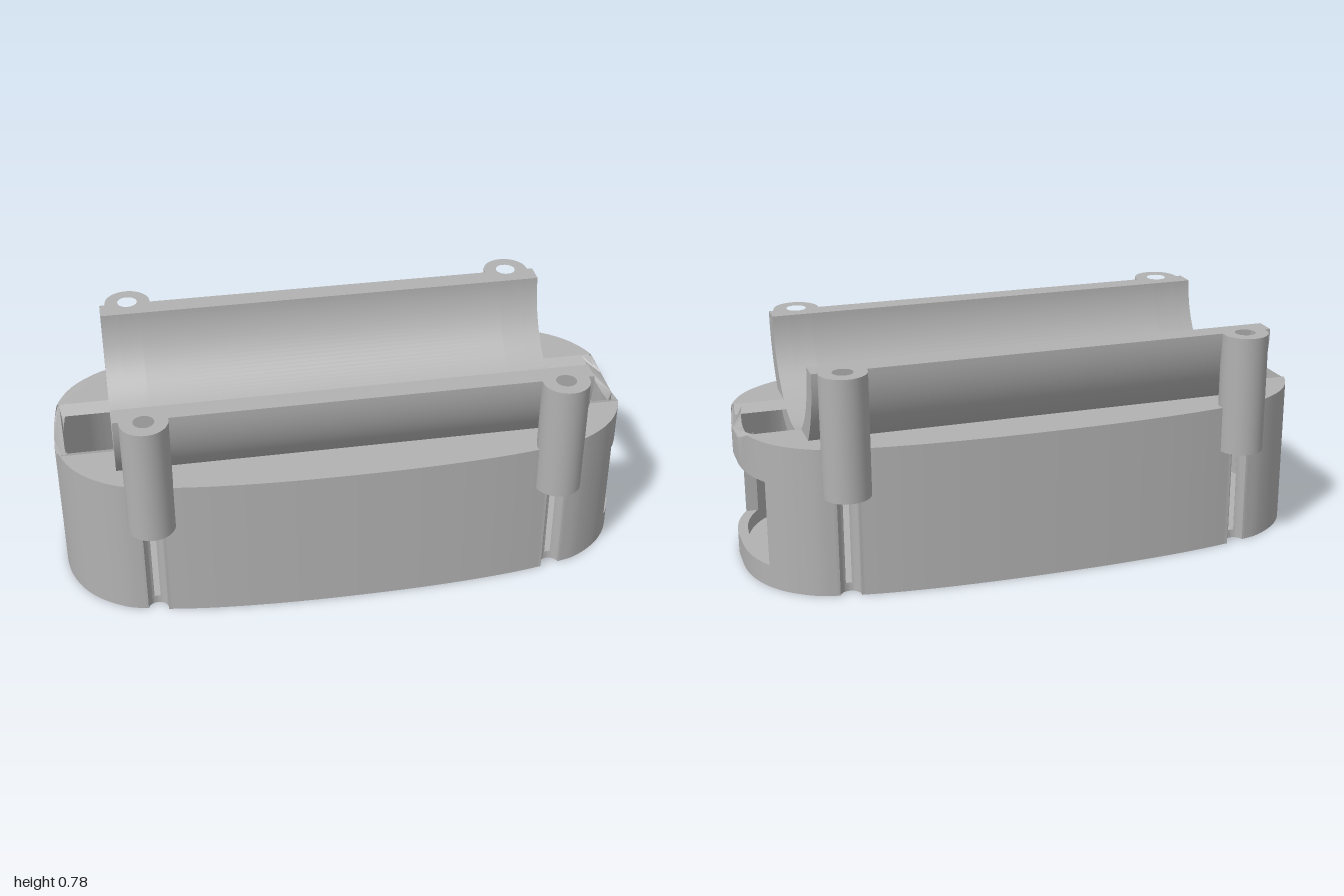
import * as THREE from 'three';
import { mergeGeometries, toCreasedNormals } from 'three/addons/utils/BufferGeometryUtils.js';

const H = 0.52, FLOOR = 0.03, RIM = 0.78, WALL = 0.035;
const POST = { x: 0.7, z: 0.39, r: 0.08, bore: 0.035, y: 0.36 };
const R_IN = 0.305, R_OUT = 0.38, TROUGH_X = 0.8;

const mirror = (pts, sx, sz) => pts.map(([x, z]) => [x * sx, z * sz]);
const rev = (pts) => [...pts].reverse();
const smooth = (g) => toCreasedNormals(g, 0.5);

// Extrude a floor-plan polygon of [x, z] points from y0 to y1
function plan(pts, y0, y1, hole) {
  const shape = new THREE.Shape(pts.map(([x, z]) => new THREE.Vector2(x, -z)));
  if (hole) shape.holes.push(new THREE.Path(hole.map(([x, z]) => new THREE.Vector2(x, -z))));
  const g = new THREE.ExtrudeGeometry(shape, { depth: y1 - y0, bevelEnabled: false });
  return g.rotateX(-Math.PI / 2).translate(0, y0, 0);
}

// Arc of [x, z] points, angles in degrees
function arc(cx, cz, r, a0, a1, n) {
  return Array.from({ length: n + 1 }, (_, i) => {
    const a = THREE.MathUtils.degToRad(a0 + (a1 - a0) * i / n);
    return [cx + r * Math.cos(a), cz + r * Math.sin(a)];
  });
}
const notch = (a0, a1, n) => arc(POST.x, POST.z, POST.bore, a0, a1, n);

// Quarter of the rounded outline, running from the end (+x) to the middle of the side (+z)
function quarterOutline() {
  const ctrl = [[0.998, -0.08], [1, 0], [0.998, 0.08], [0.982, 0.16], [0.945, 0.24], [0.89, 0.305],
    [0.8, 0.364], [0.73, 0.383], [0.665, 0.398], [0.5, 0.42], [0.25, 0.436], [0, 0.44], [-0.25, 0.436]];
  const curve = new THREE.CatmullRomCurve3(ctrl.map(([x, z]) => new THREE.Vector3(x, 0, z)));
  const outer = [], inner = [];
  for (let i = 0; i <= 180; i++) {
    const p = curve.getPointAt(i / 180), t = curve.getTangentAt(i / 180);
    const q = [p.x - t.z * WALL, p.z + t.x * WALL];
    if (p.x > 0 && p.z > 0) outer.push([p.x, p.z]);
    if (q[0] > 0 && q[1] > 0) inner.push(q);
  }
  return { outer, inner };
}

// Lower the top of a piece to the bore of the trough
function cutByTrough(g) {
  const p = g.attributes.position;
  for (let i = 0; i < p.count; i++) {
    const z = p.getZ(i);
    if (Math.abs(z) < R_IN) p.setY(i, Math.min(p.getY(i), RIM - Math.sqrt(R_IN * R_IN - z * z)));
  }
  g.computeVertexNormals();
  return g;
}

export function createModel() {
  const group = new THREE.Group();
  const grey = new THREE.MeshStandardMaterial({ color: 0xb2b2b2 });
  grey.name = 'plainGrey';
  const add = (name, parts) => {
    const mesh = new THREE.Mesh(mergeGeometries(parts.map(smooth)), grey);
    mesh.name = name;
    group.add(mesh);
  };

  const { outer, inner } = quarterOutline();
  const endOuter = outer.filter(([x]) => x > 0.736);
  const endInner = inner.filter(([x]) => x > 0.712);
  const sideOuter = outer.filter(([x]) => x < 0.664);
  const sideInner = inner.filter(([x]) => x < 0.688);

  // Half of the notched outline on +z, starting at z0 on the +x end
  const half = (z0) => {
    const end = endOuter.filter(([, z]) => z > z0);
    if (z0 > 0) end.unshift([end[0][0], z0]);
    const q = [...end, ...notch(-15, -195, 18), ...sideOuter];
    return [...q, ...rev(mirror(q, -1, 1))];
  };

  // Floor plate
  add('floor', [plan([...half(0), ...rev(mirror(half(0), 1, -1))], 0, FLOOR)]);

  // Long side walls, stopping at the slits behind the screw grooves
  const so = [...notch(-107, -195, 9), ...sideOuter];
  const sideWall = [...so, ...rev(mirror(so, -1, 1)), ...mirror(sideInner, -1, 1), ...rev(sideInner)];
  add('sideWalls', [1, -1].map((s) => plan(mirror(sideWall, 1, s), FLOOR, H)));

  // End walls, with a wide window in the +x one
  const eo = [...endOuter, ...notch(-15, -73, 6)];
  const endWall = [...rev(mirror(eo, 1, -1)), ...eo, ...rev(endInner), ...mirror(endInner, 1, -1)];
  add('closedEndWall', [cutByTrough(plan(mirror(endWall, -1, 1), FLOOR, H))]);
  const beyond = (pts) => {
    const r = pts.filter(([x, z]) => z > 0.24);
    return [[r[0][0], 0.24], ...r];
  };
  const jamb = [...beyond(eo), ...rev(beyond(endInner))];
  add('windowEndWall', [
    plan(endWall, FLOOR, 0.08),
    plan(jamb, 0.08, 0.38),
    plan(mirror(jamb, 1, -1), 0.08, 0.38),
    cutByTrough(plan(endWall, 0.38, H)),
  ]);

  // Thin deck around the trough, bevelled at the ends where the trough bore cuts it
  const deckY = 0.4975, zTop = 0.16, zLow = 0.115;
  const deck = [...half(zTop), [-TROUGH_X, zTop], [-TROUGH_X, 0.27], [TROUGH_X, 0.27], [TROUGH_X, zTop]];
  const lip = [[TROUGH_X, zLow], [0.98, zLow], [0.975, zTop], [TROUGH_X, zTop]];
  const deckParts = [];
  for (const sz of [1, -1]) {
    deckParts.push(plan(mirror(deck, 1, sz), deckY, H));
    for (const sx of [1, -1]) deckParts.push(cutByTrough(plan(mirror(lip, sx, sz), deckY, H)));
  }
  add('deck', deckParts);

  // Half-round trough in lengths; the lengths at the posts are trimmed to clear the bores
  const trough = (x0, x1, maxZ) => {
    const pts = [...arc(0, RIM, R_OUT, 180, 360, 64).map(([z, y]) => [THREE.MathUtils.clamp(z, -maxZ, maxZ), y]),
      ...arc(0, RIM, R_IN, 360, 180, 64)];
    const shape = new THREE.Shape(pts.map(([z, y]) => new THREE.Vector2(z, y)));
    const g = new THREE.ExtrudeGeometry(shape, { depth: x1 - x0, bevelEnabled: false });
    return g.rotateY(Math.PI / 2).translate(x0, 0, 0);
  };
  add('trough', [
    trough(-0.8, -0.74, 1), trough(-0.74, -0.66, 0.35), trough(-0.66, 0.66, 1),
    trough(0.66, 0.74, 0.35), trough(0.74, 0.8, 1),
  ]);

  // Four hollow screw posts
  for (const sx of [1, -1]) for (const sz of [1, -1]) {
    const ring = (r) => arc(POST.x * sx, POST.z * sz, r, 0, 350, 35);
    add('screwPost', [plan(ring(POST.r), POST.y, RIM, ring(POST.bore))]);
  }
  return group;
}
